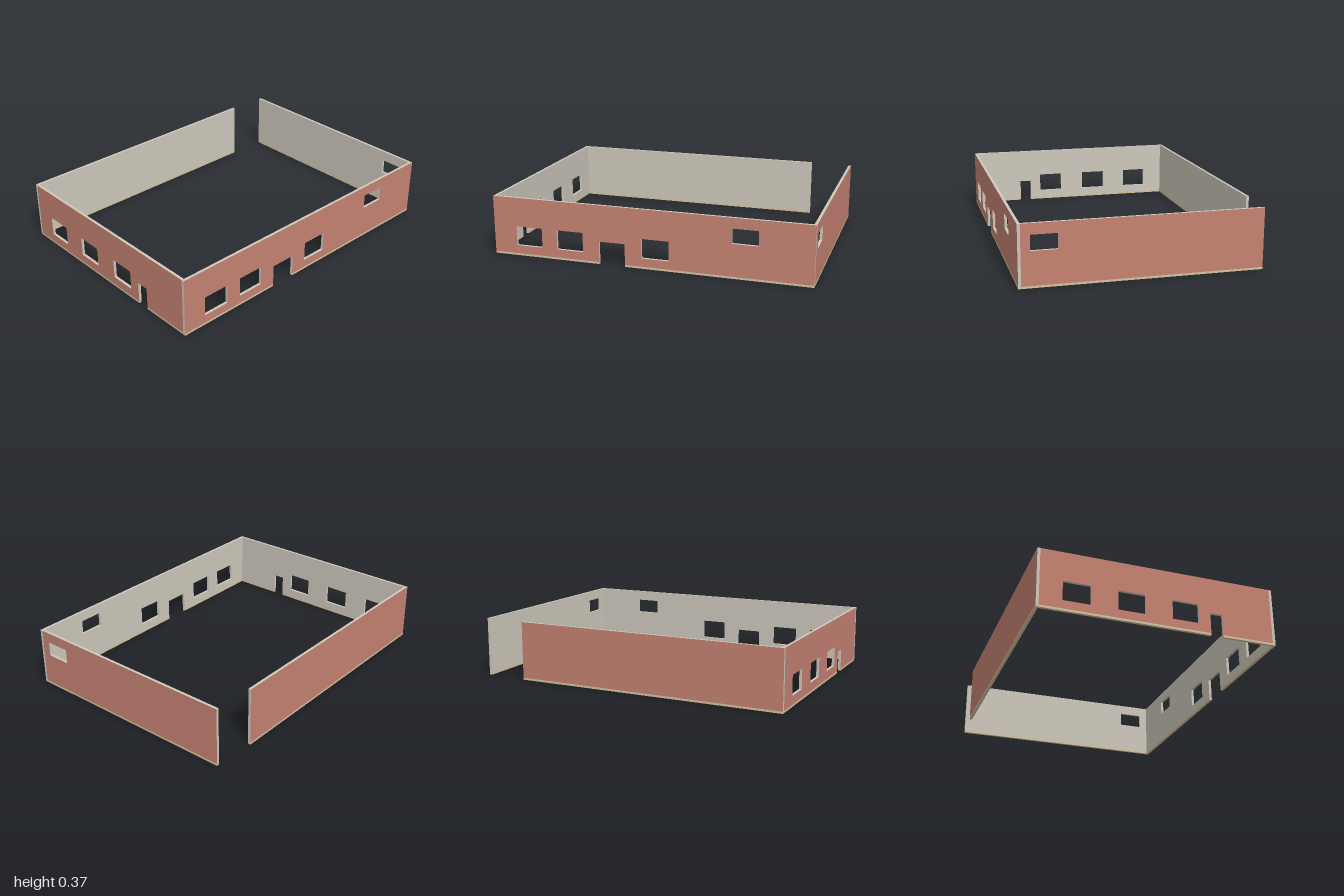
import * as THREE from 'three';

const HEIGHT = 0.37, BASE = 0.013, THICK = 0.017;
const HALF_X = 1, HALF_Z = 0.725, INNER_Z = HALF_Z - THICK;

const plaster = new THREE.MeshStandardMaterial({ color: 0xcdc8bc });
const brick = new THREE.MeshStandardMaterial({ color: 0xc58272 });
const sill = new THREE.MeshStandardMaterial({ color: 0xd6c3a0 });

// One wall from u0 to u1, facing local +z at the given distance, then turned about y.
// Windows are [u0, u1, y0, y1]; doors are [u0, u1, top] and reach the ground.
function wall(name, u0, u1, distance, turn, windows = [], doors = []) {
  const group = new THREE.Group();
  group.name = name;

  const shape = new THREE.Shape();
  shape.moveTo(u0, BASE);
  for (const [a, b, top] of doors) {
    shape.lineTo(a, BASE);
    shape.lineTo(a, top);
    shape.lineTo(b, top);
    shape.lineTo(b, BASE);
  }
  shape.lineTo(u1, BASE);
  shape.lineTo(u1, HEIGHT);
  shape.lineTo(u0, HEIGHT);
  shape.closePath();
  for (const [a, b, low, high] of windows) {
    const hole = new THREE.Path();
    hole.moveTo(a, low);
    hole.lineTo(a, high);
    hole.lineTo(b, high);
    hole.lineTo(b, low);
    hole.closePath();
    shape.holes.push(hole);
  }

  // Inner face and edges are plaster, the outer face is brick
  const geometry = new THREE.ExtrudeGeometry(shape, { depth: THICK, bevelEnabled: false });
  const caps = geometry.groups[0].count;
  const total = geometry.attributes.position.count;
  geometry.clearGroups();
  geometry.addGroup(0, caps / 2, 0);
  geometry.addGroup(caps / 2, caps / 2, 1);
  geometry.addGroup(caps, total - caps, 0);
  geometry.translate(0, 0, distance - THICK);
  const panel = new THREE.Mesh(geometry, [plaster, brick]);
  panel.name = name + 'Panel';
  group.add(panel);

  // Base strip, interrupted at the doors
  const stops = [u0, ...doors.flatMap(([a, b]) => [a, b]), u1];
  for (let i = 0; i < stops.length; i += 2) {
    const length = stops[i + 1] - stops[i];
    const strip = new THREE.Mesh(new THREE.BoxGeometry(length, BASE, THICK), sill);
    strip.position.set(stops[i] + length / 2, BASE / 2, distance - THICK / 2);
    strip.name = name + 'Base';
    group.add(strip);
  }

  group.rotation.y = turn;
  return group;
}

export function createModel() {
  const model = new THREE.Group();
  model.name = 'buildingWalls';

  model.add(wall('frontWall', -HALF_X, HALF_X, HALF_Z, 0, [
    [-0.85, -0.68, 0.065, 0.187],
    [-0.58, -0.41, 0.065, 0.187],
    [-0.035, 0.135, 0.065, 0.187],
    [0.517, 0.675, 0.213, 0.305],
  ], [[-0.305, -0.14, 0.143]]));

  // Local u runs along -z here
  model.add(wall('leftWall', -INNER_Z, INNER_Z, HALF_X, Math.PI / 2, [
    [-0.655, -0.498, 0.213, 0.305],
  ]));

  // Local u runs along -x here; the wall stops short to leave a gap at the corner
  model.add(wall('backWall', -0.725, HALF_X, HALF_Z, Math.PI));

  // Local u runs along +z here
  model.add(wall('rightWall', -INNER_Z, INNER_Z, HALF_X, -Math.PI / 2, [
    [-0.575, -0.41, 0.065, 0.187],
    [-0.25, -0.085, 0.065, 0.187],
    [0.078, 0.24, 0.065, 0.187],
  ], [[0.313, 0.39, 0.143]]));

  return model;
}
